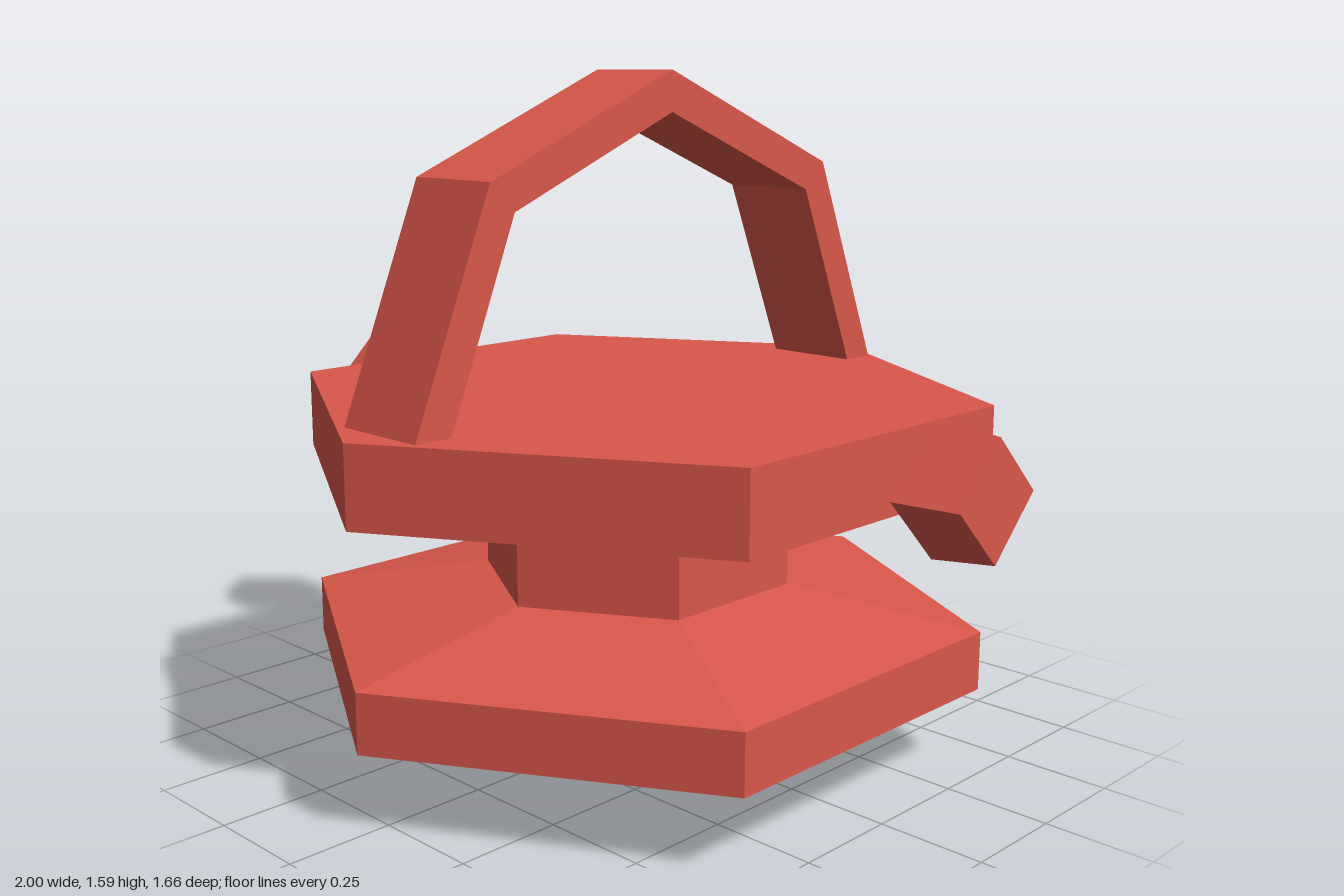
import * as THREE from 'three';

export function createModel() {
  const group = new THREE.Group();
  const red = new THREE.MeshStandardMaterial({ color: 0xd9574a });
  red.name = 'red';

  // Facet the geometry and add it as a named part
  const add = (name, geometry) => {
    const flat = geometry.index ? geometry.toNonIndexed() : geometry;
    flat.computeVertexNormals();
    const mesh = new THREE.Mesh(flat, red);
    mesh.name = name;
    group.add(mesh);
  };

  // Six-sided body sections: name, bottom y, top y, bottom radius, top radius
  const sections = [
    ['foot', 0, 0.1, 0.323, 0.323],
    ['lowerSkirt', 0.1, 0.183, 0.323, 0.824],
    ['rim', 0.183, 0.322, 0.824, 0.824],
    ['shoulder', 0.322, 0.402, 0.824, 0.373],
    ['neck', 0.402, 0.67, 0.373, 0.373],
    ['topPlate', 0.67, 0.855, 0.832, 0.832],
  ];
  for (const [name, y0, y1, r0, r1] of sections) {
    add(name, new THREE.CylinderGeometry(r1, r0, y1 - y0, 6).translate(0, (y0 + y1) / 2, 0));
  }

  // Arched handle running front to back, with its ends sunk into the top plate
  const profile = [
    [0.757, 0.82], [0.535, 1.367], [0, 1.59], [-0.543, 1.367], [-0.767, 0.82],
    [-0.678, 0.82], [-0.478, 1.302], [0, 1.497], [0.47, 1.302], [0.664, 0.82],
  ];
  const arch = new THREE.Shape(profile.map(([z, y]) => new THREE.Vector2(z, y)));
  const handle = new THREE.ExtrudeGeometry(arch, { depth: 0.24, bevelEnabled: false });
  add('handle', handle.translate(0, 0, -0.12).rotateY(-Math.PI / 2));

  // Floating diamond knobs, tapering outwards
  for (const [name, side] of [['leftKnob', 1], ['rightKnob', -1]]) {
    const knob = new THREE.CylinderGeometry(0.13, 0.148, 0.15, 4);
    add(name, knob.rotateZ(-side * Math.PI / 2).translate(side * 0.925, 0.762, 0));
  }

  return group;
}
